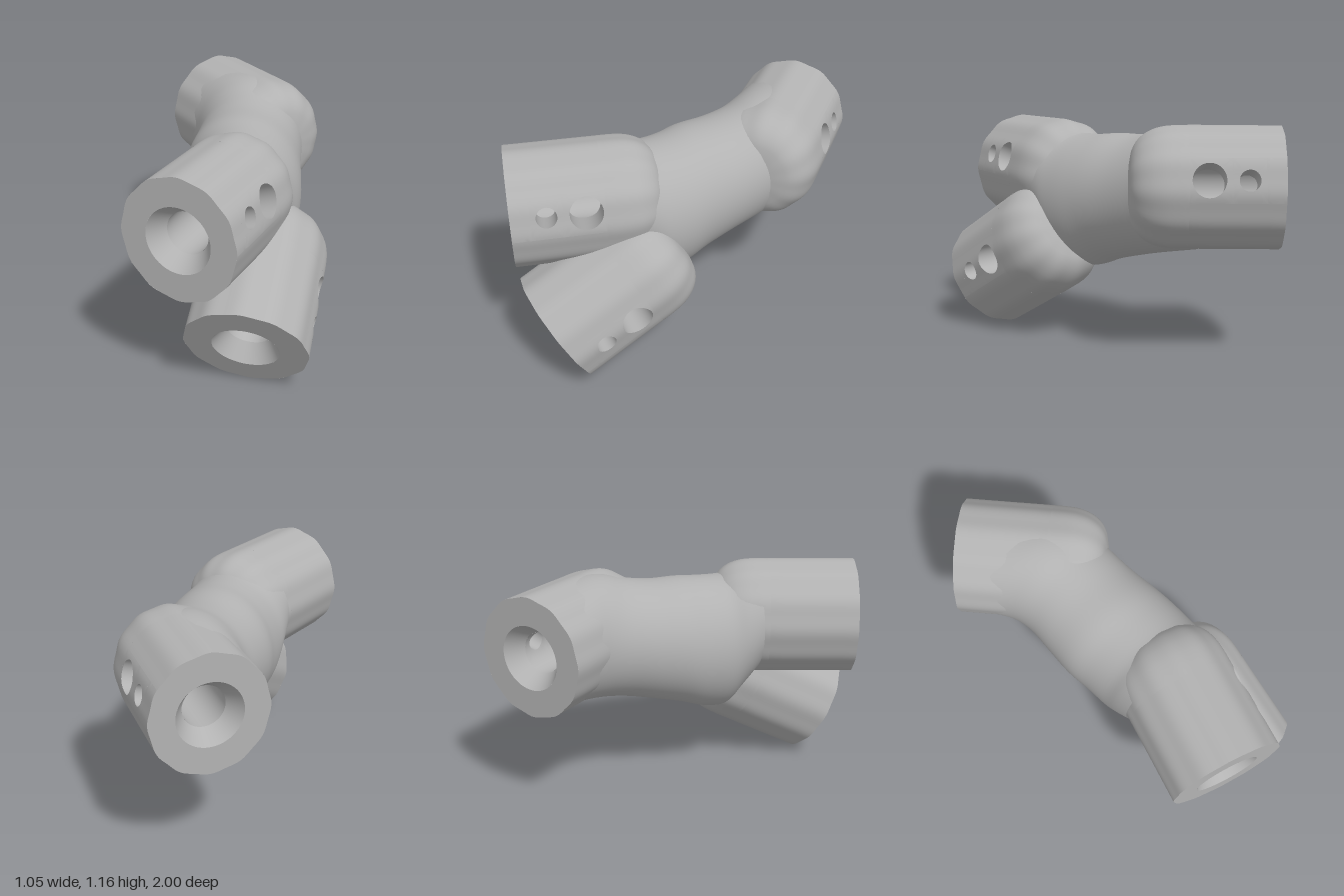
import * as THREE from 'three';
import { mergeGeometries, mergeVertices } from 'three/addons/utils/BufferGeometryUtils.js';

const TAU = Math.PI * 2;
const BORE = 0.105, MOUTH = 0.163, CHAMFER = 0.09, DEPTH = 0.45;
const HOLES = [
  { s: 0.17, r: 0.05, from: CHAMFER, to: 0.25 },
  { s: 0.357, r: 0.08, from: 0.25, to: DEPTH },
];

// Grid surface from fn(u, v) -> [x, y, z], u and v in 0..1
function surface(fn, nu, nv, flip = false) {
  const pos = [], idx = [];
  for (let j = 0; j <= nv; j++)
    for (let i = 0; i <= nu; i++) pos.push(...fn(i / nu, j / nv));
  for (let j = 0; j < nv; j++)
    for (let i = 0; i < nu; i++) {
      const a = j * (nu + 1) + i, b = a + 1, c = a + nu + 1, d = c + 1;
      if (flip) idx.push(a, c, b, b, c, d);
      else idx.push(a, b, c, b, d, c);
    }
  const g = new THREE.BufferGeometry();
  g.setAttribute('position', new THREE.Float32BufferAttribute(pos, 3));
  g.setIndex(idx);
  return g;
}

// Join pieces and smooth across their seams
function smooth(pieces) {
  const g = mergeVertices(mergeGeometries(pieces), 1e-4);
  g.computeVertexNormals();
  return g;
}

// Socket: axis along local z, mouth at z = 0, going back to -z
function makeSocket(name, material, { rx, ry, length, holeAngle }) {
  const group = new THREE.Group();
  group.name = name;
  const add = (part, ...pieces) => {
    const mesh = new THREE.Mesh(smooth(pieces), material);
    mesh.name = part;
    group.add(mesh);
  };
  const outer = (a, s, k = 1) => {
    const wave = 0.003 * Math.cos(12 * a);
    return [(rx + wave) * k * Math.cos(a), (ry + wave) * k * Math.sin(a), -s];
  };
  const inner = (a, s, r = BORE) => [r * Math.cos(a), r * Math.sin(a), -s];

  // Curved wall piece around one drilled hole, from circle to rectangle
  const patch = (wall, radius, w, h, flip) => surface((u, v) => {
    const c = Math.cos(u * TAU), q = Math.sin(u * TAU), m = 1 / Math.max(Math.abs(c), Math.abs(q));
    const a = THREE.MathUtils.lerp(Math.asin(h.r * c / radius), w * c * m, v);
    const s = THREE.MathUtils.lerp(h.s + h.r * q, (h.from + h.to) / 2 + (h.to - h.from) / 2 * q * m, v);
    return wall(holeAngle + a, s);
  }, 48, 5, flip);
  const sector = (wall, a0, a1, s0, s1, n, flip) => surface(
    (u, v) => wall(holeAngle + a0 + (a1 - a0) * u, s0 + (s1 - s0) * v), n, 6, flip);

  // Outer wall with a rounded shoulder at the back
  const W = 0.36;
  const shoulder = new THREE.CatmullRomCurve3([
    [DEPTH, 1], [length - 0.04, 1], [length + 0.02, 0.985], [length + 0.08, 0.93],
    [length + 0.14, 0.8], [length + 0.18, 0.58], [length + 0.2, 0.001],
  ].map(([s, k]) => new THREE.Vector3(s, k, 0)));
  add('outerWall',
    sector(outer, W, TAU - W, 0, DEPTH, 96, true),
    sector(outer, -W, W, 0, CHAMFER, 12, true),
    ...HOLES.map(h => patch(outer, (rx + ry) / 2, W, h, false)),
    surface((u, v) => {
      const p = shoulder.getPoint(v);
      return outer(holeAngle + u * TAU, p.x, p.y);
    }, 96, 18, true));

  // Flat rim and countersunk mouth
  add('rim', surface((u, v) => {
    const o = outer(u * TAU, 0), i = inner(u * TAU, 0, MOUTH);
    return o.map((x, k) => x + (i[k] - x) * v);
  }, 96, 1));
  add('countersink', surface((u, v) =>
    inner(u * TAU, CHAMFER * v, MOUTH + (BORE - MOUTH) * v), 64, 1));

  // Blind bore
  const B = 1.1;
  add('bore',
    sector(inner, B, TAU - B, CHAMFER, DEPTH, 48, false),
    ...HOLES.map(h => patch(inner, BORE, B, h, true)));
  add('boreEnd', surface((u, v) => inner(u * TAU, DEPTH, BORE * (1 - v) + 0.0005), 48, 1));

  // Screw hole walls running from the outside into the bore
  HOLES.forEach((h, i) => add(i ? 'largeHole' : 'smallHole', surface((u, v) => {
    const p = h.r * Math.cos(u * TAU), s = h.s + h.r * Math.sin(u * TAU);
    const o = outer(holeAngle + Math.asin(p / ((rx + ry) / 2)), s);
    const n = inner(holeAngle + Math.asin(p / BORE), s);
    return o.map((x, k) => x + (n[k] - x) * v);
  }, 48, 2, true)));
  return group;
}

// Place a socket so its mouth centre and outward axis match
function place(socket, centre, axis) {
  const z = new THREE.Vector3(...axis).normalize();
  const x = new THREE.Vector3(0, 1, 0).cross(z).normalize();
  const y = z.clone().cross(x);
  socket.quaternion.setFromRotationMatrix(new THREE.Matrix4().makeBasis(x, y, z));
  socket.position.set(...centre);
  return socket;
}

export function createModel() {
  const model = new THREE.Group();
  model.name = 'pipeJoint';
  const grey = new THREE.MeshStandardMaterial({ color: 0xb2b2b2, side: THREE.DoubleSide });
  grey.name = 'plain grey';
  const deg = Math.PI / 180;

  model.add(
    place(makeSocket('upperFrontSocket', grey, { rx: 0.287, ry: 0.302, length: 0.56, holeAngle: 19 * deg }),
      [-0.06, 0.855, 0.933], [-0.225, 0, 0.974]),
    place(makeSocket('lowerFrontSocket', grey, { rx: 0.298, ry: 0.303, length: 0.55, holeAngle: -4 * deg }),
      [0.22, 0.27, 0.825], [0, -0.47, 0.88]),
    place(makeSocket('backSocket', grey, { rx: 0.288, ry: 0.302, length: 0.55, holeAngle: 167 * deg }),
      [-0.325, 0.855, -0.795], [-1, 0, -1]));

  // Swelling body between the sockets: z, left x, right x, bottom, top
  const rows = [
    [0.40, -0.24, 0.33, 0.57, 1.13],
    [0.32, -0.25, 0.34, 0.47, 1.11],
    [0.24, -0.255, 0.35, 0.38, 1.09],
    [0.12, -0.27, 0.345, 0.385, 1.09],
    [0, -0.295, 0.325, 0.43, 1.10],
    [-0.15, -0.30, 0.295, 0.47, 1.10],
    [-0.28, -0.305, 0.275, 0.50, 1.12],
    [-0.38, -0.335, 0.265, 0.52, 1.15],
    [-0.46, -0.39, 0.28, 0.535, 1.16],
    [-0.54, -0.46, 0.29, 0.55, 1.155],
  ];
  const spline = f => new THREE.SplineCurve(rows.map(r => new THREE.Vector2(...f(r))));
  const sides = spline(r => [r[1], r[2]]);
  const heights = spline(r => [r[3], r[4]]);
  const depth = spline(r => [r[0], 0]);
  const body = new THREE.Mesh(smooth([surface((u, v) => {
    const x = sides.getPoint(v), y = heights.getPoint(v), a = u * TAU;
    return [
      (x.x + x.y) / 2 + (x.y - x.x) / 2 * Math.cos(a),
      (y.x + y.y) / 2 + (y.y - y.x) / 2 * Math.sin(a),
      depth.getPoint(v).x,
    ];
  }, 72, 36, true)]), grey);
  body.name = 'body';
  model.add(body);
  return model;
}
